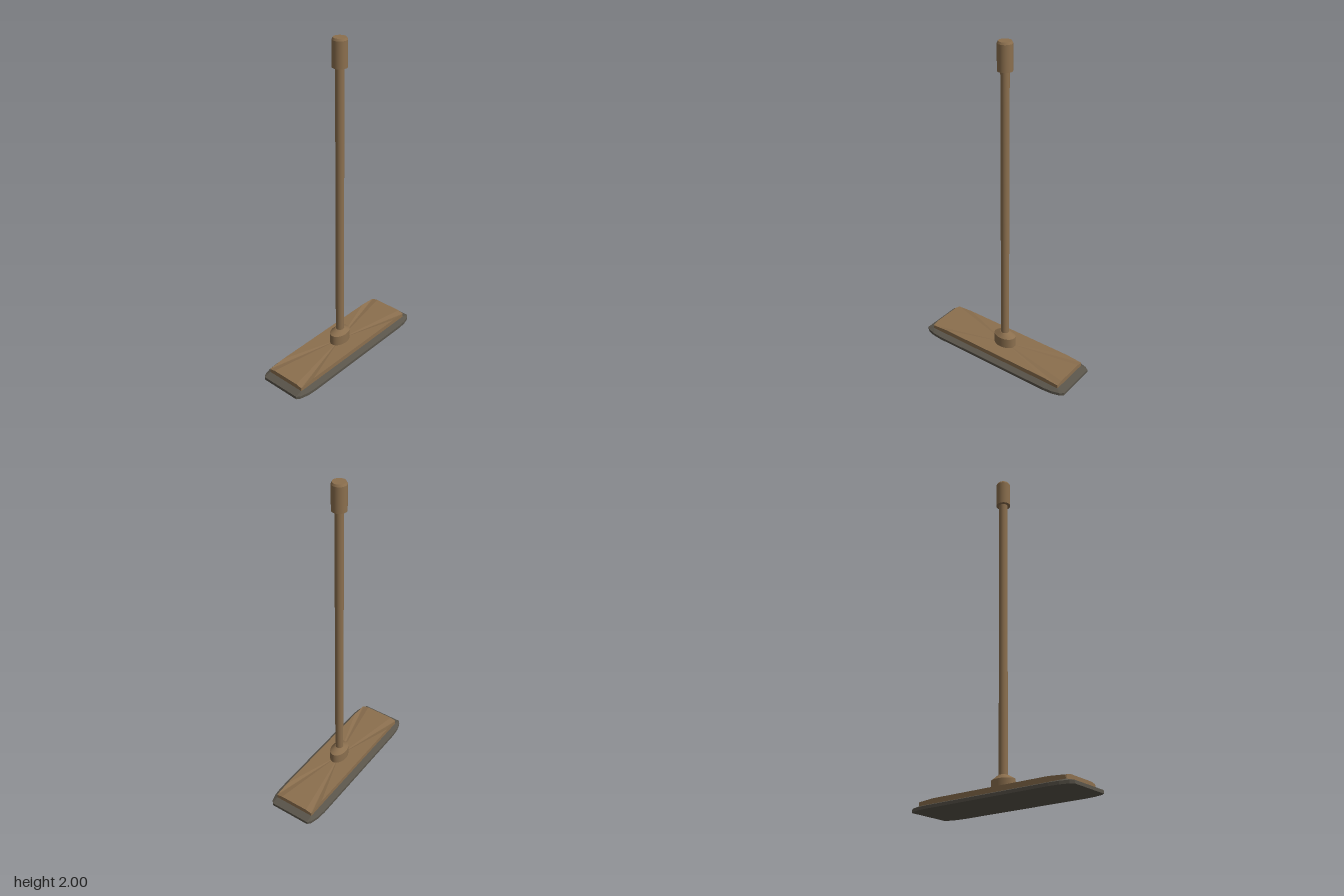
import * as THREE from 'three';

const wood = new THREE.MeshStandardMaterial({ color: 0x8b6f4e });
wood.name = 'wood brown';
const pad = new THREE.MeshStandardMaterial({ color: 0x59544a });
pad.name = 'pad grey';

// One quarter of an outline, mirrored into a closed ring in the xz plane
function ring(quarter, y) {
  const q = quarter.map(([x, z]) => [x, z]);
  const r = [...q].reverse();
  return [
    ...q,
    ...r.map(([x, z]) => [-x, z]),
    ...q.map(([x, z]) => [-x, -z]),
    ...r.map(([x, z]) => [x, -z]),
  ].map(([x, z]) => [x, y(x, z), z]);
}

// Flat-faced solid through matching rings, capped at both ends
function loft(rings) {
  const pos = [];
  const tri = (a, b, c) => pos.push(...a, ...b, ...c);
  const n = rings[0].length;
  const bottom = rings[0], top = rings[rings.length - 1];
  const centre = (r) => [0, Math.max(...r.map((p) => p[1])), 0];
  for (let i = 0; i < n; i++) {
    const j = (i + 1) % n;
    for (let k = 0; k < rings.length - 1; k++) {
      const a = rings[k], b = rings[k + 1];
      tri(a[i], b[j], a[j]);
      tri(a[i], b[i], b[j]);
    }
    tri(centre(bottom), bottom[i], bottom[j]);
    tri(centre(top), top[j], top[i]);
  }
  const g = new THREE.BufferGeometry();
  g.setAttribute('position', new THREE.Float32BufferAttribute(pos, 3));
  g.computeVertexNormals();
  return g;
}

function add(group, name, geometry, material) {
  const mesh = new THREE.Mesh(geometry, material);
  mesh.name = name;
  group.add(mesh);
  return mesh;
}

export function createModel() {
  const model = new THREE.Group();
  model.name = 'floorMop';

  // Pad with rounded corners and a sloping rim
  const outer = [[0.53, 0.13], [0.51, 0.146], [0.46, 0.16], [0.4, 0.165]];
  const inner = [[0.485, 0.126], [0.484, 0.128], [0.48, 0.13], [0.4, 0.13]];
  add(model, 'mopPad', loft([
    ring(outer, () => 0),
    ring(outer, () => 0.018),
    ring(inner, () => 0.031),
  ]), pad);

  // Board, its top dipping slightly at the corners
  const edge = [[0.485, 0.09], [0.485, 0.126], [0.48, 0.13], [0.38, 0.13]];
  const dip = (x, z) => 0.06 - 0.008
    * THREE.MathUtils.smoothstep(Math.abs(x), 0.38, 0.485)
    * THREE.MathUtils.smoothstep(Math.abs(z), 0.09, 0.13);
  add(model, 'board', loft([ring(edge, () => 0.03), ring(edge, dip)]), wood);

  // Oval socket, its shoulder narrowing to the round pole
  const collar = new THREE.CylinderGeometry(1, 1, 0.07, 40);
  collar.scale(0.073, 1, 0.05);
  add(model, 'socket', collar, wood).position.y = 0.09;

  const shoulder = new THREE.CylinderGeometry(1, 1, 0.025, 40);
  const p = shoulder.attributes.position;
  for (let i = 0; i < p.count; i++) {
    const upper = p.getY(i) > 0;
    p.setX(i, p.getX(i) * (upper ? 0.028 : 0.073));
    p.setZ(i, p.getZ(i) * (upper ? 0.028 : 0.05));
  }
  shoulder.computeVertexNormals();
  add(model, 'socketShoulder', shoulder, wood).position.y = 0.1375;

  // Pole
  add(model, 'pole', new THREE.CylinderGeometry(0.025, 0.025, 1.72, 32), wood).position.y = 1.0;

  // Grip with a bevelled top
  add(model, 'grip', new THREE.CylinderGeometry(0.043, 0.043, 0.148, 32), wood).position.y = 1.914;
  add(model, 'gripBevel', new THREE.CylinderGeometry(0.037, 0.043, 0.012, 32), wood).position.y = 1.994;

  return model;
}
